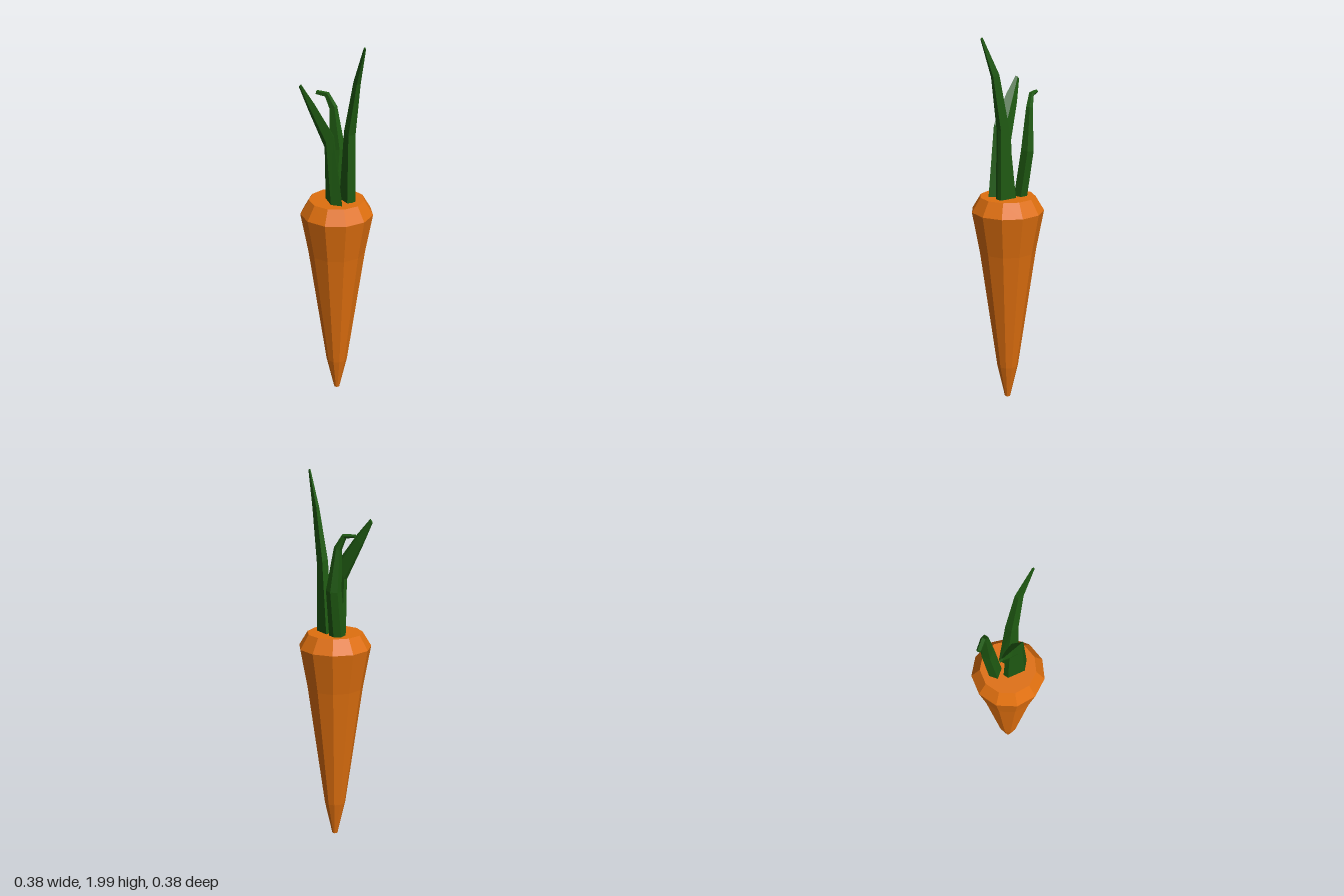
import * as THREE from 'three';

const orange = new THREE.MeshStandardMaterial({ color: 0xe0700f, flatShading: true });
const green = new THREE.MeshStandardMaterial({ color: 0x1f5a12, flatShading: true });

// Lofts a leaf. section: [side, forward] corners, counter-clockwise from above.
// rings: [side shift, forward shift, height, side scale, forward scale, tilt].
function makeLeaf(name, x, z, heading, section, rings) {
  const s = Math.sin(heading), c = Math.cos(heading), n = section.length;
  const positions = [], index = [];
  for (const [side, forward, y, sideScale, forwardScale, tilt] of rings) {
    for (const [a, b] of section) {
      const u = side + a * sideScale;
      const v = forward + b * forwardScale * Math.cos(tilt);
      positions.push(x - u * c + v * s, y - b * forwardScale * Math.sin(tilt), z + u * s + v * c);
    }
  }
  for (let r = 0; r < rings.length - 1; r++) {
    for (let i = 0; i < n; i++) {
      const a = r * n + i, b = r * n + (i + 1) % n;
      index.push(a, b, b + n, a, b + n, a + n);
    }
  }
  // end caps
  const top = (rings.length - 1) * n;
  for (let i = 1; i < n - 1; i++) {
    index.push(0, i + 1, i, top, top + i, top + i + 1);
  }
  const geometry = new THREE.BufferGeometry();
  geometry.setAttribute('position', new THREE.Float32BufferAttribute(positions, 3));
  geometry.setIndex(index);
  geometry.computeVertexNormals();
  const mesh = new THREE.Mesh(geometry, green);
  mesh.name = name;
  return mesh;
}

export function createModel() {
  const group = new THREE.Group();
  group.name = 'carrot';

  // Eleven-sided tapering root with a bevelled shoulder
  const profile = [[0, 0], [0.015, 0], [0.058, 0.19], [0.152, 0.86], [0.193, 1.08], [0.147, 1.157], [0, 1.157]]
    .map(([r, y]) => new THREE.Vector2(r, y));
  const root = new THREE.Mesh(new THREE.LatheGeometry(profile, 11, Math.PI), orange);
  root.name = 'root';
  group.add(root);

  const deg = THREE.MathUtils.degToRad;

  // Tall leaf leaning forward
  group.add(makeLeaf('frontLeaf', 0.04, 0.035, 0,
    [[-0.025, 0.045], [-0.02, -0.05], [0.025, -0.035], [0.025, 0.045], [0, 0.052]],
    [
      [0, 0, 1.15, 1, 1, 0],
      [-0.002, 0.02, 1.53, 0.85, 0.55, 0.25],
      [-0.012, 0.07, 1.8, 0.45, 0.4, 0.3],
      [-0.009, 0.145, 1.988, 0.15, 0.12, 0.6],
    ]));

  // Broad leaf bending to the back right
  group.add(makeLeaf('backRightLeaf', -0.032, 0.0185, deg(210),
    [[-0.037, -0.073], [0.028, -0.035], [0.044, 0.048], [0.016, 0.055], [-0.049, -0.014]],
    [
      [0, 0, 1.15, 1, 1, 0],
      [-0.004, 0.025, 1.48, 0.8, 0.9, 0.9],
      [-0.004, 0.125, 1.645, 0.5, 0.55, 0.85],
      [-0.004, 0.19, 1.75, 0.15, 0.2, 0.8],
    ]));

  // Short leaf whose tip curls over backwards
  group.add(makeLeaf('curledLeaf', 0.03, -0.07, deg(212),
    [[-0.035, 0.035], [-0.034, -0.026], [0.01, -0.037], [0.03, 0], [0.012, 0.035]],
    [
      [0, 0, 1.15, 1, 1, 0],
      [0.038, 0, 1.4, 0.95, 0.95, 0.1],
      [0.034, 0.024, 1.62, 0.5, 0.5, 0.4],
      [0.028, 0.058, 1.685, 0.38, 0.35, 1.0],
      [0.026, 0.118, 1.69, 0.33, 0.25, 1.5],
    ]));

  return group;
}
